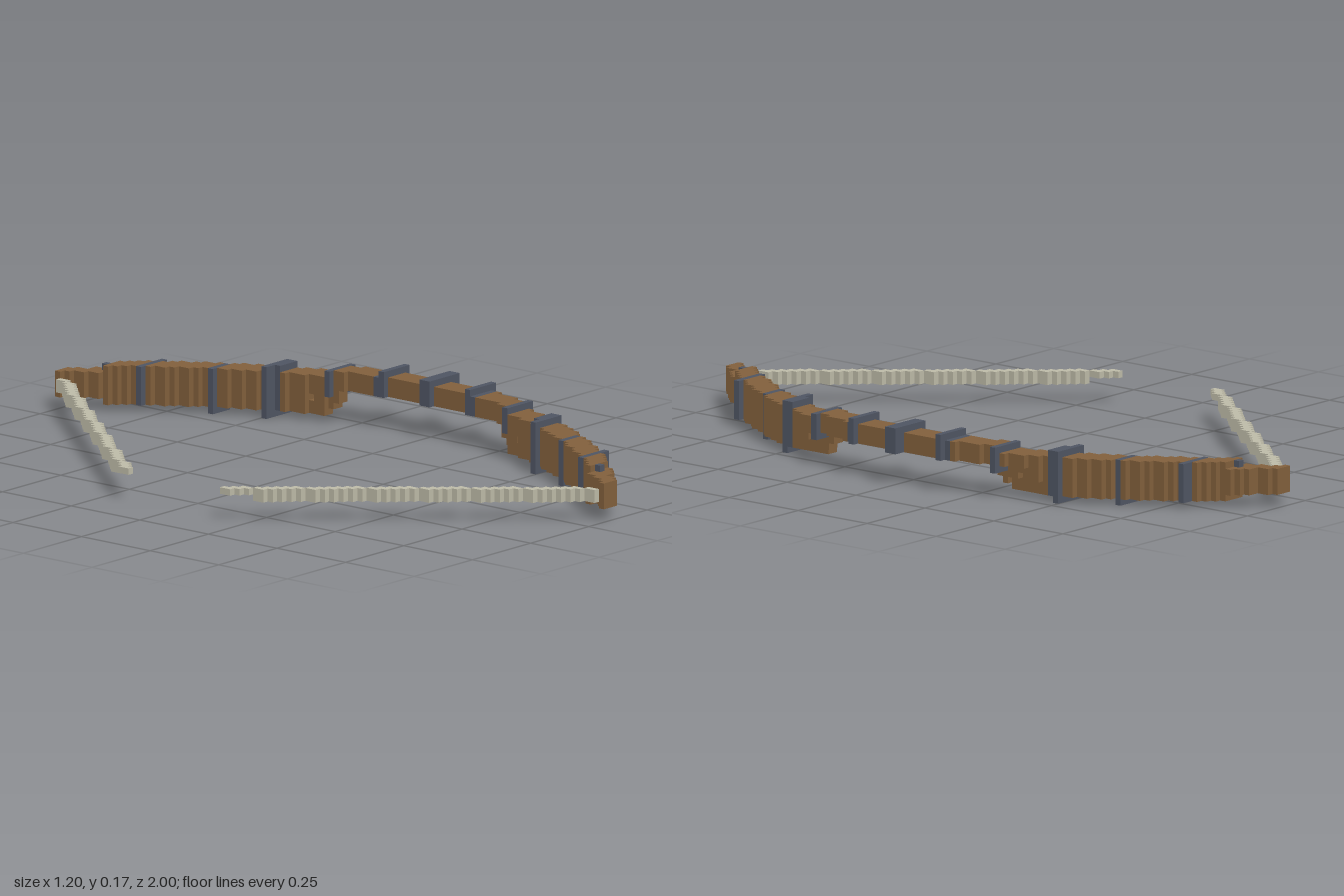
import * as THREE from 'three';
import { mergeGeometries } from 'three/addons/utils/BufferGeometryUtils.js';

const U = 2 / 108;      // size of one block
const X0 = -0.602;      // left edge of the block grid

// box given in whole blocks: x from i0 to i1, y from j0 to j1, z from k0 to k1
function blocks(i0, i1, j0, j1, k0, k1) {
  const g = new THREE.BoxGeometry((i1 - i0) * U, (j1 - j0) * U, (k1 - k0) * U);
  g.translate(X0 + (i0 + i1) / 2 * U, (j0 + j1) / 2 * U, (k0 + k1) / 2 * U);
  return g;
}
const column = x => Math.round((x - X0) / U);
const bow = z => 0.535 - 0.455 * z * z;   // centre line of the limb

// iron bands: row from the middle -> blocks added [inner, outer], bottom, top
const bands = {
  0: [1, 1, 5, 9],
  8: [1, 1, 5, 9], 9: [1, 0, 5, 8],
  17: [1, 1, 4, 8],
  25: [0, 0, 1, 8], 26: [1, 0, 0, 8],
  34: [0, 0, 0, 7],
  43: [0, 1, 1, 7],
};

export function createModel() {
  const group = new THREE.Group();
  const mat = (name, color) => new THREE.MeshStandardMaterial({ name, color });
  const wood = mat('wood', 0x82603c);
  const iron = mat('iron', 0x4f5563);
  const cord = mat('cord', 0xbebba8);

  for (const side of [1, -1]) {
    const label = side > 0 ? 'front' : 'back';
    const woodParts = [], ironParts = [], cordParts = [];
    const add = (list, i0, i1, j0, j1, k0, k1) =>
      list.push(side > 0 ? blocks(i0, i1, j0, j1, k0, k1) : blocks(i0, i1, j0, j1, -k1, -k0));

    // curved limb, one row of blocks at a time
    for (let k = 0; k < 54; k++) {
      const z = (k + 0.5) * U, c = bow(z);
      const half = k > 50 ? 0.026 : 0.039;
      const i0 = column(c - half), i1 = column(c + half);
      const bottom = k < 16 ? 5 : k === 16 ? 3 : k === 17 ? 2 : k < 48 ? 1 : 2;
      const top = k < 18 ? 8 : k < 48 ? 7 : 6;
      const band = bands[k];
      if (band) {
        add(ironParts, i0 - band[0], i1 + band[1], band[2], band[3], k, k + 1);
        if (bottom < band[2]) add(woodParts, i0, Math.min(i1, column(0.49)), bottom, band[2], k, k + 1);
        continue;
      }
      if (bottom >= 5) {
        add(woodParts, i0, i1, 5, top, k, k + 1);
        continue;
      }
      // the deep part steps inward towards its underside
      const mid = Math.min(i1, column(0.49)), low = Math.min(i1, column(0.47));
      add(woodParts, i0, i1, 5, top, k, k + 1);
      if (k === 20) add(woodParts, i0, mid, 4, 5, k, k + 1);   // small through hole
      else add(woodParts, i0, mid, 3, 5, k, k + 1);
      add(woodParts, i0, low, bottom, 3, k, k + 1);
    }

    // iron studs on the outer arm
    add(ironParts, column(0.165), column(0.185), 5, 7, 48, 49);

    // diagonal string, one column of blocks at a time
    for (let i = 0; i < 36; i++) {
      const k = Math.round(9 + i * 1.19);
      add(cordParts, i, i + 1, i < 3 ? 4 : 3, 5, k, k + 2);
    }

    for (const [name, parts, material] of [
      ['Limb', woodParts, wood], ['IronBands', ironParts, iron], ['String', cordParts, cord]]) {
      const mesh = new THREE.Mesh(mergeGeometries(parts), material);
      mesh.name = label + name;
      group.add(mesh);
    }
  }
  return group;
}
